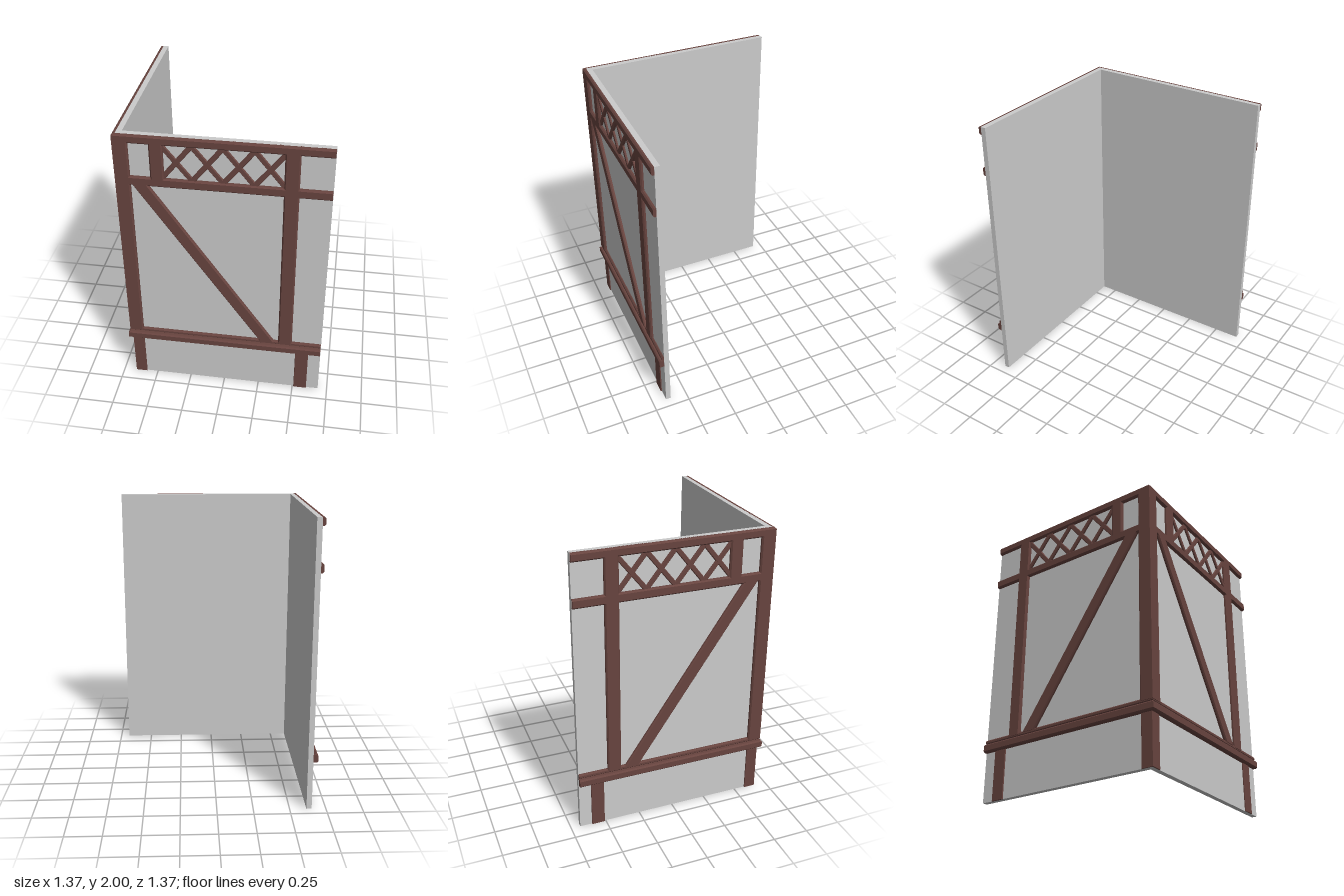
import * as THREE from 'three';

const WALL = 0.652;   // outer face of both walls
const END = 0.685;    // free end of both walls
const FACE = 0.673;   // outer face of the timber frame

const plaster = new THREE.MeshStandardMaterial({ color: 0xcccccc, flatShading: true });
const timber = new THREE.MeshStandardMaterial({ color: 0x68443f, flatShading: true });

// Chamfered beam from p to q, its ends cut along 'x' or 'y'. Corners at the
// house corner are mitred; side = true reflects the beam onto the side wall.
function beamGeometry(p, q, cut, width, face, bevel, side) {
  const verts = [], index = [];
  const rings = [[WALL - 0.004, 0], [face - bevel, 0], [face, bevel]];
  for (const [z, inset] of rings) {
    const h = width / 2 - inset;
    const dx = cut === 'x' ? h : 0, dy = cut === 'y' ? h : 0;
    const corners = [
      [p[0] - dx, p[1] - dy], [q[0] - dx, q[1] - dy],
      [q[0] + dx, q[1] + dy], [p[0] + dx, p[1] + dy],
    ];
    for (const [cx, y] of corners) {
      const x = cx < -0.64 ? -z : cx;
      if (side) verts.push(-z, y, -x);
      else verts.push(x, y, z);
    }
  }
  const quad = (a, b, c, d) => {
    if (side) index.push(a, c, b, a, d, c);
    else index.push(a, b, c, a, c, d);
  };
  for (let r = 0; r < 2; r++) {
    for (let i = 0; i < 4; i++) {
      const j = (i + 1) % 4;
      quad(r * 4 + i, r * 4 + j, r * 4 + 4 + j, r * 4 + 4 + i);
    }
  }
  quad(8, 9, 10, 11);
  quad(3, 2, 1, 0);
  const indexed = new THREE.BufferGeometry();
  indexed.setAttribute('position', new THREE.Float32BufferAttribute(verts, 3));
  indexed.setIndex(index);
  const geometry = indexed.toNonIndexed();
  geometry.computeVertexNormals();
  return geometry;
}

function timberFrame(name, side) {
  const frame = new THREE.Group();
  frame.name = name;
  const beam = (part, p, q, cut, width, face = FACE, bevel = 0.009) => {
    const mesh = new THREE.Mesh(beamGeometry(p, q, cut, width, face, bevel, side), timber);
    mesh.name = part;
    frame.add(mesh);
  };
  const rail = (part, y0, y1, face) =>
    beam(part, [-0.67, (y0 + y1) / 2], [END - 0.002, (y0 + y1) / 2], 'y', y1 - y0, face);
  const post = (part, x0, x1, y0, y1, face, bevel) =>
    beam(part, [(x0 + x1) / 2, y1], [(x0 + x1) / 2, y0], 'x', x1 - x0, face, bevel);

  // Horizontal rails
  rail('topRail', 1.943, 2.0);
  rail('middleRail', 1.645, 1.708);
  rail('lowerRail', 0.405, 0.437, 0.668);
  rail('baseRail', 0.345, 0.402, 0.685);

  // Upright posts
  post('cornerPost', -0.67, -0.578, 1.69, 1.96);
  post('cornerPost', -0.67, -0.578, 0.42, 1.66);
  post('shortPost', -0.447, -0.36, 1.69, 1.96);
  post('mainPost', 0.385, 0.48, 1.69, 1.96);
  post('mainPost', 0.385, 0.48, 0.42, 1.66);

  // Legs below the base rail
  post('leg', -0.66, -0.58, 0, 0.36, 0.66, 0.002);
  post('leg', 0.508, 0.6, 0, 0.36, 0.66, 0.002);

  // Diagonal brace
  beam('brace', [-0.52, 1.655], [0.308, 0.425], 'x', 0.102);

  // Lattice of four crosses
  const pitch = 0.194;
  for (let i = 0; i < 4; i++) {
    const x0 = -0.378 + i * pitch, x1 = x0 + pitch;
    beam('latticeStrip', [x0, 1.948], [x1, 1.703], 'x', 0.042, 0.664, 0.005);
    beam('latticeStrip', [x1, 1.948], [x0, 1.703], 'x', 0.042, 0.6645, 0.005);
  }
  return frame;
}

export function createModel() {
  const model = new THREE.Group();
  model.name = 'timberFramedCorner';

  // L-shaped pair of walls, drawn in plan (shape y = -z) and raised
  const inner = 0.616;
  const plan = new THREE.Shape([
    [-WALL, -WALL], [END, -WALL], [END, -inner],
    [-inner, -inner], [-inner, END], [-WALL, END],
  ].map(([x, y]) => new THREE.Vector2(x, y)));
  const wallGeometry = new THREE.ExtrudeGeometry(plan, { depth: 2, bevelEnabled: false });
  wallGeometry.rotateX(-Math.PI / 2);
  const walls = new THREE.Mesh(wallGeometry, plaster);
  walls.name = 'walls';
  model.add(walls);

  model.add(timberFrame('frontFrame', false), timberFrame('sideFrame', true));
  return model;
}
